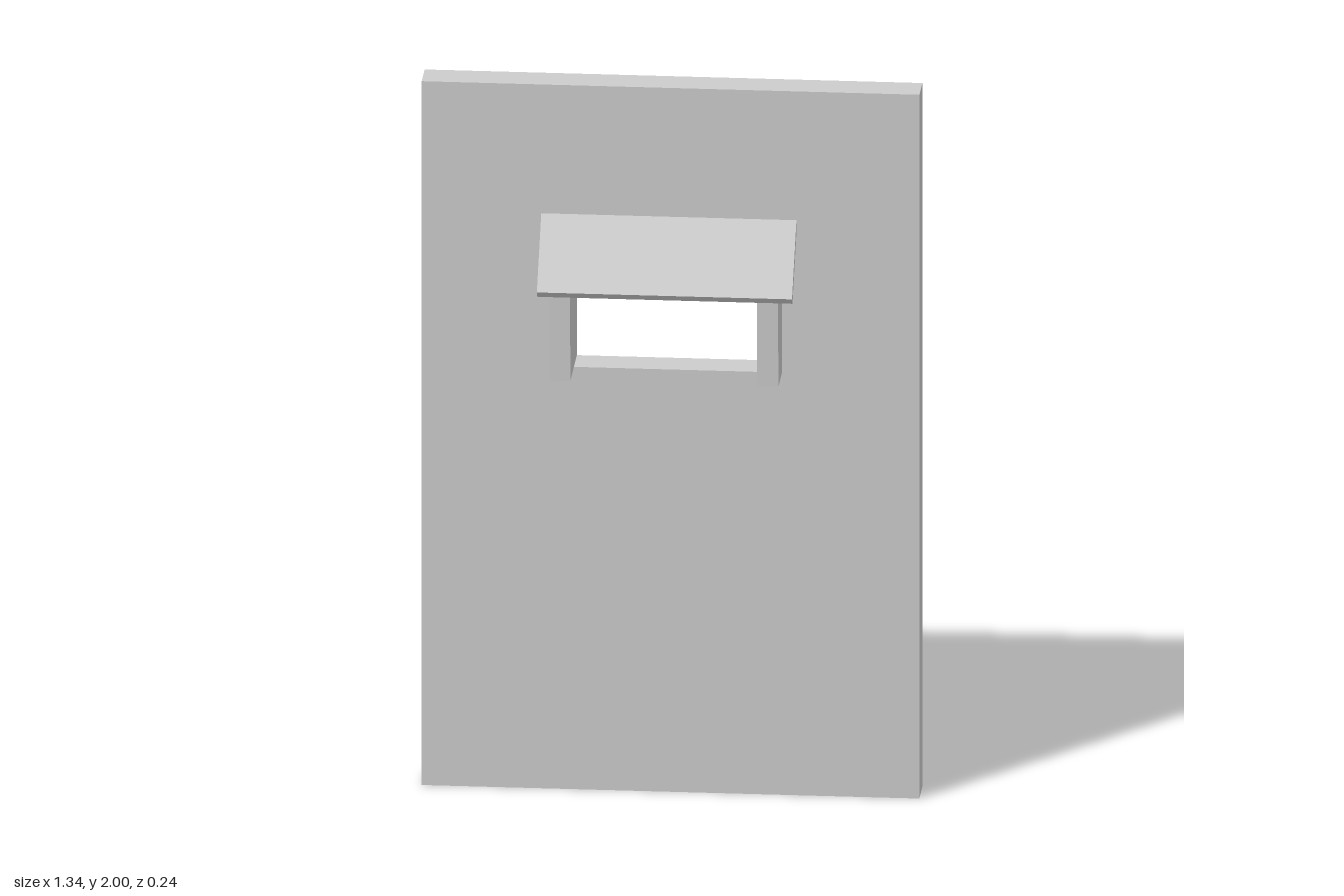
import * as THREE from 'three';

const material = new THREE.MeshStandardMaterial({ color: 0xcccccc, flatShading: true });

// Extrudes a side profile of [z, y] points from x0 to x1
function sideExtrusion(name, points, x0, x1) {
  const shape = new THREE.Shape(points.map(([z, y]) => new THREE.Vector2(z, y)));
  const geometry = new THREE.ExtrudeGeometry(shape, { depth: x1 - x0, bevelEnabled: false });
  geometry.rotateY(-Math.PI / 2).translate(x1, 0, 0);
  const mesh = new THREE.Mesh(geometry, material);
  mesh.name = name;
  return mesh;
}

function rectangle(Path, x0, y0, x1, y1) {
  return new Path([[x0, y0], [x1, y0], [x1, y1], [x0, y1]].map(([x, y]) => new THREE.Vector2(x, y)));
}

export function createModel() {
  const group = new THREE.Group();
  group.name = 'wallWithCanopyWindow';
  const wallFront = -0.024, wallBack = -0.12;

  // Wall slab with the window opening
  const outline = rectangle(THREE.Shape, -0.67, 0, 0.67, 2);
  outline.holes.push(rectangle(THREE.Path, -0.26, 1.2, 0.243, 1.597));
  const wallGeometry = new THREE.ExtrudeGeometry(outline, { depth: wallFront - wallBack, bevelEnabled: false });
  wallGeometry.translate(0, 0, wallBack);
  const wall = new THREE.Mesh(wallGeometry, material);
  wall.name = 'wall';
  group.add(wall);

  // Cheeks beside the opening, cut to the slope of the canopy
  const cheek = [[wallFront, 1.2], [0.093, 1.2], [0.101, 1.446], [wallFront, 1.597]];
  group.add(sideExtrusion('rightCheek', cheek, -0.316, -0.26));
  group.add(sideExtrusion('leftCheek', cheek, 0.243, 0.3));

  // Sloping canopy slab
  const canopy = [[wallFront, 1.595], [0.104, 1.441], [0.12, 1.459], [wallFront, 1.634]];
  group.add(sideExtrusion('canopy', canopy, -0.348, 0.339));

  return group;
}
